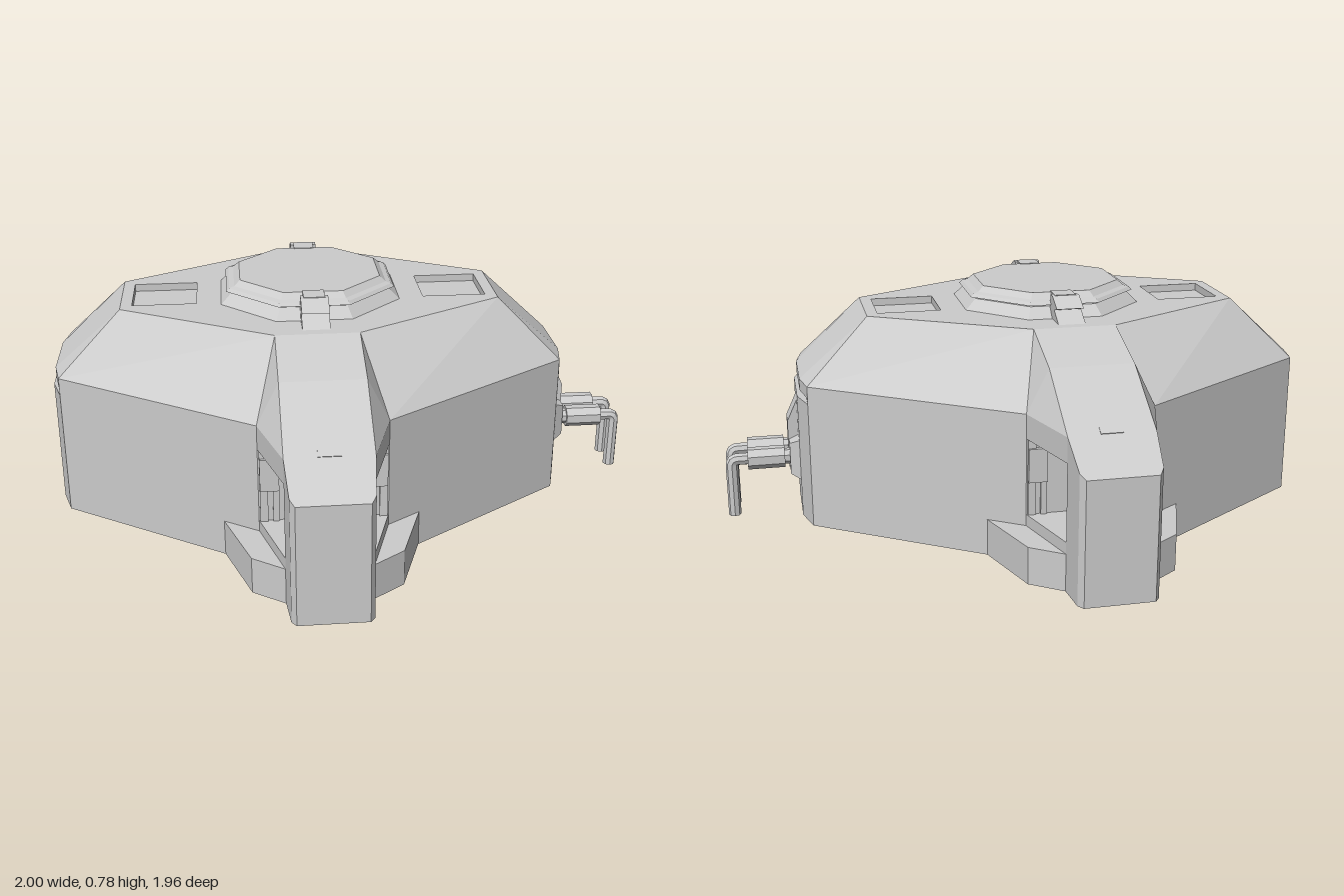
import * as THREE from 'three';

const mat = new THREE.MeshStandardMaterial({ color: 0xcccccc, flatShading: true, side: THREE.DoubleSide });

function add(parent, name, geometry, x = 0, y = 0, z = 0) {
  const mesh = new THREE.Mesh(geometry, mat);
  mesh.name = name;
  mesh.position.set(x, y, z);
  parent.add(mesh);
  return mesh;
}

// Convex polygons as triangle fans, each turned to face away from the core
function polygons(faces) {
  const core = new THREE.Vector3(0, 0.05, 0), out = [];
  for (const face of faces) {
    let p = face.map((c) => new THREE.Vector3(...c));
    const n = p[1].clone().sub(p[0]).cross(p[2].clone().sub(p[0]));
    if (n.dot(p[0].clone().sub(core)) < 0) p = p.reverse();
    for (let i = 1; i < p.length - 1; i++) for (const v of [p[0], p[i], p[i + 1]]) out.push(v.x, v.y, v.z);
  }
  const g = new THREE.BufferGeometry();
  g.setAttribute('position', new THREE.Float32BufferAttribute(out, 3));
  g.computeVertexNormals();
  return g;
}

// Repeat faces of one quarter in all four quarters
function quarters(faces) {
  const all = [];
  for (const sx of [1, -1]) for (const sz of [1, -1])
    for (const f of faces) all.push(f.map(([x, y, z]) => [x * sx, y, z * sz]));
  return polygons(all);
}

// Top and outer sides of a hollow block, open below; the last edge of the outline has no side
function openBlock(outline, y) {
  const faces = [outline.map(([x, z]) => [x, y, z])];
  for (let i = 0; i < outline.length - 1; i++) {
    const [a, b] = [outline[i], outline[i + 1]];
    faces.push([[a[0], 0, a[1]], [b[0], 0, b[1]], [b[0], y, b[1]], [a[0], y, a[1]]]);
  }
  return quarters(faces);
}

// Upright prism over an [x, z] outline
function prism(outline, y0, y1, holes = []) {
  const toPts = (o) => o.map(([x, z]) => new THREE.Vector2(x, -z));
  const shape = new THREE.Shape(toPts(outline));
  for (const h of holes) shape.holes.push(new THREE.Path(toPts(h)));
  return new THREE.ExtrudeGeometry(shape, { depth: y1 - y0, bevelEnabled: false }).rotateX(-Math.PI / 2).translate(0, y0, 0);
}

const rect = (cx, hw, hd) => [[cx - hw, -hd], [cx + hw, -hd], [cx + hw, hd], [cx - hw, hd]];

// Eight-cornered outline from two corners of one quarter
const eight = ([ax, az], [bx, bz]) => [[ax, az], [bx, bz], [-bx, bz], [-ax, az], [-ax, -az], [-bx, -bz], [bx, -bz], [ax, -az]];

// Octagonal turned part with flats facing the axes; profile is [apothem, y]
function octagon(profile) {
  const k = 1 / Math.cos(Math.PI / 8);
  return new THREE.LatheGeometry(profile.map(([r, y]) => new THREE.Vector2(r * k, y)), 8).rotateY(Math.PI / 8);
}

export function createModel() {
  const model = new THREE.Group();
  const building = new THREE.Group();
  building.name = 'building';
  building.position.x = -0.125;
  model.add(building);

  // Outer walls, with a narrow groove under the eaves at both ends
  const levels = [[0.875, 0], [0.875, 0.43], [0.845, 0.43], [0.845, 0.45], [0.865, 0.45], [0.865, 0.49]];
  const wallFaces = [];
  const plan = (e) => [[e, 0], [e, 0.11], [0.845, 0.21], [0.205, 0.63], [0, 0.63]];
  for (let l = 0; l < levels.length - 1; l++) {
    const [e0, y0] = levels[l], [e1, y1] = levels[l + 1];
    const a = plan(e0), b = plan(e1);
    for (let i = 0; i < 4; i++) {
      if (y0 === y1 && i > 1) continue;
      wallFaces.push([[a[i][0], y0, a[i][1]], [a[i + 1][0], y0, a[i + 1][1]],
        [b[i + 1][0], y1, b[i + 1][1]], [b[i][0], y1, b[i][1]]]);
    }
  }
  add(building, 'walls', quarters(wallFaces));

  // Sloping roof
  const E0 = [0.865, 0.49, 0.11], E1 = [0.845, 0.49, 0.21], E2 = [0.205, 0.49, 0.63];
  const T0 = [0.635, 0.7, 0.14], T1 = [0.135, 0.7, 0.42];
  const P1 = [0.135, 0.632, 0.63], P2 = [0.135, 0.49, 0.86];
  const mid = ([, y, z]) => [0, y, z];
  add(building, 'roofSlopes', quarters([
    [[0.865, 0.49, 0], E0, T0, [0.635, 0.7, 0]],
    [E0, E1, T0],
    [E1, E2, T1, T0],
  ]));

  // Porch roofs, lintels and soffits
  add(building, 'porchRoofs', quarters([
    [T1, E2, P1], [E2, P1, P2],
    [mid(T1), T1, P1, mid(P1)],
    [mid(P1), P1, P2, mid(P2)],
    [E2, P2, [0.135, 0.41, 0.86], [0.205, 0.41, 0.63]],
    [[0, 0.41, 0.63], [0.205, 0.41, 0.63], [0.135, 0.41, 0.86], [0, 0.41, 0.86]],
  ]));

  // Bevelled porch front walls with sloping tops, open below
  const foot = [[0.135, 0.49, 0.86], [0.125, 0.415, 0.96], [0.11, 0.4, 0.98], [0, 0.4, 0.98]];
  const down = ([x, , z]) => [x, 0, z];
  const frontFaces = [[mid(P2), ...foot], [[0, 0.16, 0.86], [0.135, 0.16, 0.86], P2, mid(P2)]];
  for (let i = 0; i < 3; i++) frontFaces.push([foot[i], foot[i + 1], down(foot[i + 1]), down(foot[i])]);
  add(building, 'porchFronts', quarters(frontFaces));

  // Porch floors and side steps
  add(building, 'porchFloors', openBlock([[0.205, 0.63], [0.135, 0.86], [0, 0.86], [0, 0.63]].slice(0, 2).concat([[0, 0.86], [0, 0.63]]).slice(0, 4), 0.16));
  add(building, 'sideSteps', openBlock([[0.135, 0.86], [0.235, 0.79], [0.315, 0.558], [0.205, 0.63]], 0.122));

  // Flat roof cap with two square recesses
  const cap = eight([0.635, 0.14], [0.135, 0.42]);
  add(building, 'roofCap', prism(cap, 0.675, 0.7, [rect(0.49, 0.107, 0.105), rect(-0.49, 0.107, 0.105)]));
  for (const s of [1, -1]) add(building, 'recessFloor', prism(rect(s * 0.49, 0.11, 0.11), 0.665, 0.675));

  // Octagonal hatch
  add(building, 'hatch', octagon([[0.3, 0.7], [0.265, 0.735], [0.25, 0.735], [0.25, 0.742],
    [0.282, 0.742], [0.272, 0.752], [0.255, 0.757], [0.235, 0.775], [0, 0.775]]));

  // Raised inner floor with an octagonal step and a square block beneath
  add(building, 'innerFloor', prism(eight([0.55, 0.14], [0.15, 0.4]), 0.13, 0.16));
  add(building, 'innerFloorStep', octagon([[0, 0.11], [0.28, 0.11], [0.28, 0.13]]));
  add(building, 'innerFloorBlock', new THREE.BoxGeometry(0.28, 0.04, 0.28), 0, 0.09, 0);

  for (const sz of [1, -1]) {
    // Hatch clamps: overhanging wedge, with a narrower tongue lying on the hatch
    const side = [[0.27, 0.7], [0.385, 0.7], [0.325, 0.735], [0.36, 0.745], [0.3, 0.775], [0.27, 0.775]];
    const clamp = new THREE.ExtrudeGeometry(new THREE.Shape(side.map((p) => new THREE.Vector2(...p))), { depth: 0.09, bevelEnabled: false });
    add(building, 'hatchClamp', clamp.translate(0, 0, -0.045).rotateY(-sz * Math.PI / 2));
    add(building, 'clampTongue', new THREE.BoxGeometry(0.07, 0.03, 0.07), 0, 0.762, sz * 0.26);

    // Small vent set flush in the porch roof
    add(building, 'porchVent', new THREE.BoxGeometry(0.07, 0.014, 0.028), 0, 0.495, sz * 0.843).rotation.x = sz * 0.553;

    // Door posts with a thicker middle
    for (const sx of [1, -1]) {
      add(building, 'doorPost', new THREE.BoxGeometry(0.025, 0.25, 0.012), sx * 0.188, 0.285, sz * 0.632);
      add(building, 'innerDoorPost', new THREE.BoxGeometry(0.02, 0.25, 0.012), sx * 0.15, 0.285, sz * 0.632);
      add(building, 'doorPostBand', new THREE.BoxGeometry(0.06, 0.11, 0.028), sx * 0.17, 0.325, sz * 0.632);
    }
  }

  // Service fitting on the left end wall
  const service = new THREE.Group();
  service.name = 'serviceFitting';
  model.add(service);
  const bracket = new THREE.CylinderGeometry(0.085 * Math.SQRT2, 0.11 * Math.SQRT2, 0.035, 4).rotateY(Math.PI / 4).rotateZ(-Math.PI / 2);
  bracket.scale(1, 0.65, 1);
  add(service, 'bracket', bracket, 0.765, 0.2, 0);
  const cowl = new THREE.Shape([[0.745, 0.15], [0.785, 0.15], [0.785, 0.32], [0.748, 0.4]].map((p) => new THREE.Vector2(...p)));
  add(service, 'cowl', new THREE.ExtrudeGeometry(cowl, { depth: 0.08, bevelEnabled: false }), 0, 0, -0.04);

  // Two pipes that turn down to the ground
  for (const z of [-0.053, 0.053]) {
    const tube = (name, r, x0, x1) =>
      add(service, name, new THREE.CylinderGeometry(r, r, x1 - x0, 8).rotateY(Math.PI / 8).rotateZ(Math.PI / 2), (x0 + x1) / 2, 0.2, z);
    tube('pipeNeck', 0.027, 0.77, 0.81);
    tube('pipeSleeve', 0.038, 0.8, 0.925);
    const path = new THREE.CurvePath();
    const v = (x, y) => new THREE.Vector3(x, y, z);
    path.add(new THREE.LineCurve3(v(0.91, 0.2), v(0.96, 0.2)));
    path.add(new THREE.QuadraticBezierCurve3(v(0.96, 0.2), v(0.979, 0.2), v(0.979, 0.18)));
    path.add(new THREE.LineCurve3(v(0.979, 0.18), v(0.979, 0)));
    add(service, 'pipe', new THREE.TubeGeometry(path, 28, 0.021, 8));
    add(service, 'pipeEnd', new THREE.CircleGeometry(0.021, 8).rotateX(Math.PI / 2), 0.979, 0.001, z);
  }
  return model;
}
